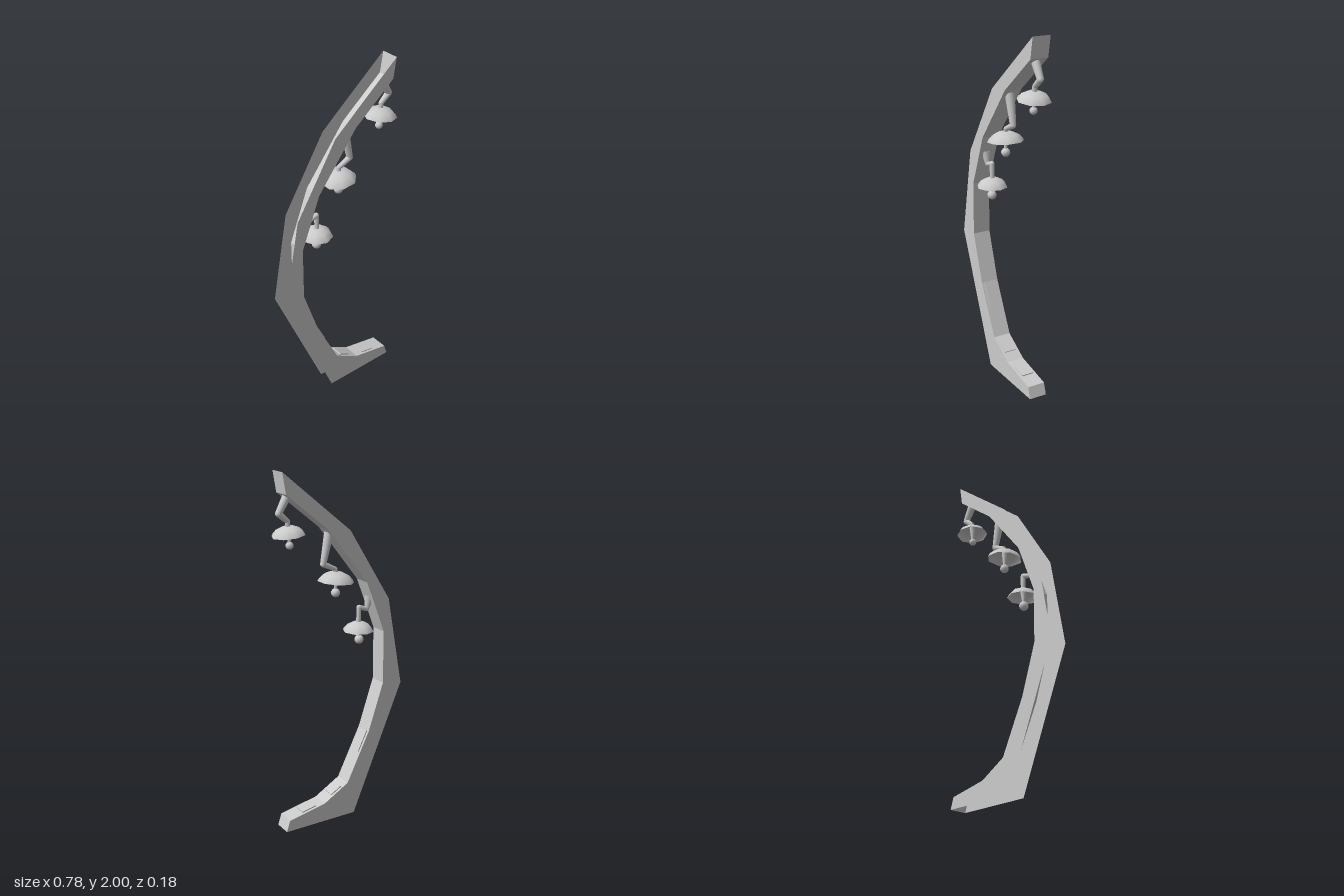
import * as THREE from 'three';

const grey = new THREE.MeshStandardMaterial({ color: 0xcccccc });
const sheet = new THREE.MeshStandardMaterial({ color: 0xcccccc, side: THREE.DoubleSide, flatShading: true });
const shadeMat = new THREE.MeshStandardMaterial({ color: 0xcccccc, side: THREE.DoubleSide });

const FRONT = 0.047, BACK = -0.056, MID = (FRONT + BACK) / 2;

// Inner contour from the toe up to the tip, then the outer contour back down
const inner = [[0.368, 0], [0.347, 0.065], [0.12, 0.11], [-0.034, 0.2], [-0.177, 0.49], [-0.27, 0.768],
  [-0.27, 1.075], [-0.156, 1.372], [0.087, 1.684], [0.336, 1.886], [0.355, 2]];
const outer = [[-0.048, 1.668], [-0.3, 1.262], [-0.393, 0.75], [-0.077, 0]];

function add(parent, name, geometry, material = grey) {
  const mesh = new THREE.Mesh(geometry, material);
  mesh.name = name;
  parent.add(mesh);
  return mesh;
}

// Tapered round rod between two points
function rod(parent, name, a, b, ra, rb) {
  const dir = b.clone().sub(a);
  const mesh = add(parent, name, new THREE.CylinderGeometry(rb, ra, dir.length(), 10));
  mesh.position.copy(a).add(b).multiplyScalar(0.5);
  mesh.quaternion.setFromUnitVectors(new THREE.Vector3(0, 1, 0), dir.normalize());
}

// Open channel: two thin side plates joined by the inner wall
function buildFrame() {
  const frame = new THREE.Group();
  frame.name = 'frame';
  const outline = new THREE.Shape([...inner, ...outer].map(([x, y]) => new THREE.Vector2(x, y)));
  for (const [name, z] of [['frontSidePlate', FRONT], ['backSidePlate', BACK]]) {
    const plate = add(frame, name, new THREE.ShapeGeometry(outline), sheet);
    plate.position.z = z;
    if (z === BACK) {
      // wind the rear plate so that it faces backwards
      const index = plate.geometry.index.array;
      for (let i = 0; i < index.length; i += 3) [index[i], index[i + 1]] = [index[i + 1], index[i]];
      plate.geometry.computeVertexNormals();
    }
  }
  const pos = [];
  for (let i = 0; i < inner.length - 1; i++) {
    const [ax, ay] = inner[i], [bx, by] = inner[i + 1];
    pos.push(ax, ay, FRONT, ax, ay, BACK, bx, by, BACK);
    pos.push(ax, ay, FRONT, bx, by, BACK, bx, by, FRONT);
  }
  const wall = new THREE.BufferGeometry();
  wall.setAttribute('position', new THREE.Float32BufferAttribute(pos, 3));
  wall.computeVertexNormals();
  add(frame, 'innerWall', wall, sheet);
  return frame;
}

// Raised panel lying on the wall between two contour points
function addPanel(parent, name, seg, y0, y1) {
  const [ax, ay] = inner[seg], [bx, by] = inner[seg + 1];
  const slope = (bx - ax) / (by - ay), y = (y0 + y1) / 2;
  const length = (y1 - y0) * Math.hypot(1, slope);
  const panel = add(parent, name, new THREE.BoxGeometry(length, 0.012, 0.074));
  panel.position.set(ax + (y - ay) * slope, y, MID);
  panel.rotation.z = Math.atan2(by - ay, bx - ax);
}

// Hanging lamp: jointed arm, eight-sided dome, stem and bulb
function buildLamp({ name, arm, radii, rim, r, h, tilt, phase, bulb, bulbR }) {
  const lamp = new THREE.Group();
  lamp.name = name;
  const pts = arm.map(([x, y]) => new THREE.Vector3(x, y, 0));
  for (let i = 0; i < pts.length - 1; i++) {
    rod(lamp, 'armSegment', pts[i], pts[i + 1], radii[i], radii[i + 1]);
    if (i > 0) add(lamp, 'armJoint', new THREE.SphereGeometry(radii[i], 10, 6)).position.copy(pts[i]);
  }
  const profile = [[0, h], [0.36, h * 0.95], [0.72, h * 0.65], [0.92, h * 0.28], [1, 0]];
  const dome = new THREE.LatheGeometry(profile.map(([x, y]) => new THREE.Vector2(x * r, y)).reverse(), 8, phase);
  const shade = add(lamp, 'shade', dome, shadeMat);
  shade.position.set(rim[0], rim[1], 0);
  shade.rotation.z = tilt;
  const end = new THREE.Vector3(bulb[0], bulb[1], 0);
  rod(lamp, 'stem', new THREE.Vector3(rim[0], rim[1] + h * 0.95, 0), end, 0.017, 0.006);
  add(lamp, 'bulb', new THREE.SphereGeometry(bulbR, 12, 8)).position.copy(end);
  lamp.position.z = -0.002;
  return lamp;
}

export function createModel() {
  const model = new THREE.Group();
  model.name = 'curvedLampStand';
  model.add(buildFrame());

  addPanel(model, 'largePanel', 3, 0.37, 0.489);
  addPanel(model, 'middlePanel', 2, 0.142, 0.18);
  addPanel(model, 'smallPanel', 1, 0.083, 0.1);

  const lamps = [
    { name: 'lowerLamp', arm: [[-0.206, 1.275], [-0.19, 1.205], [-0.138, 1.222], [-0.136, 1.13]],
      radii: [0.028, 0.013, 0.014, 0.013], rim: [-0.135, 1.088], r: 0.087, h: 0.053, tilt: 0.02, phase: 0,
      bulb: [-0.14, 1.037], bulbR: 0.026 },
    { name: 'middleLamp', arm: [[0.053, 1.66], [0.09, 1.492], [0.015, 1.457], [0.01, 1.425]],
      radii: [0.027, 0.017, 0.013, 0.013], rim: [0.012, 1.387], r: 0.1, h: 0.056, tilt: 0.09, phase: Math.PI / 8,
      bulb: [0.013, 1.326], bulbR: 0.025 },
    { name: 'upperLamp', arm: [[0.301, 1.872], [0.352, 1.785], [0.302, 1.742], [0.297, 1.7]],
      radii: [0.024, 0.018, 0.014, 0.013], rim: [0.296, 1.668], r: 0.091, h: 0.05, tilt: -0.1, phase: 0,
      bulb: [0.291, 1.615], bulbR: 0.021 },
  ];
  for (const spec of lamps) model.add(buildLamp(spec));
  return model;
}
